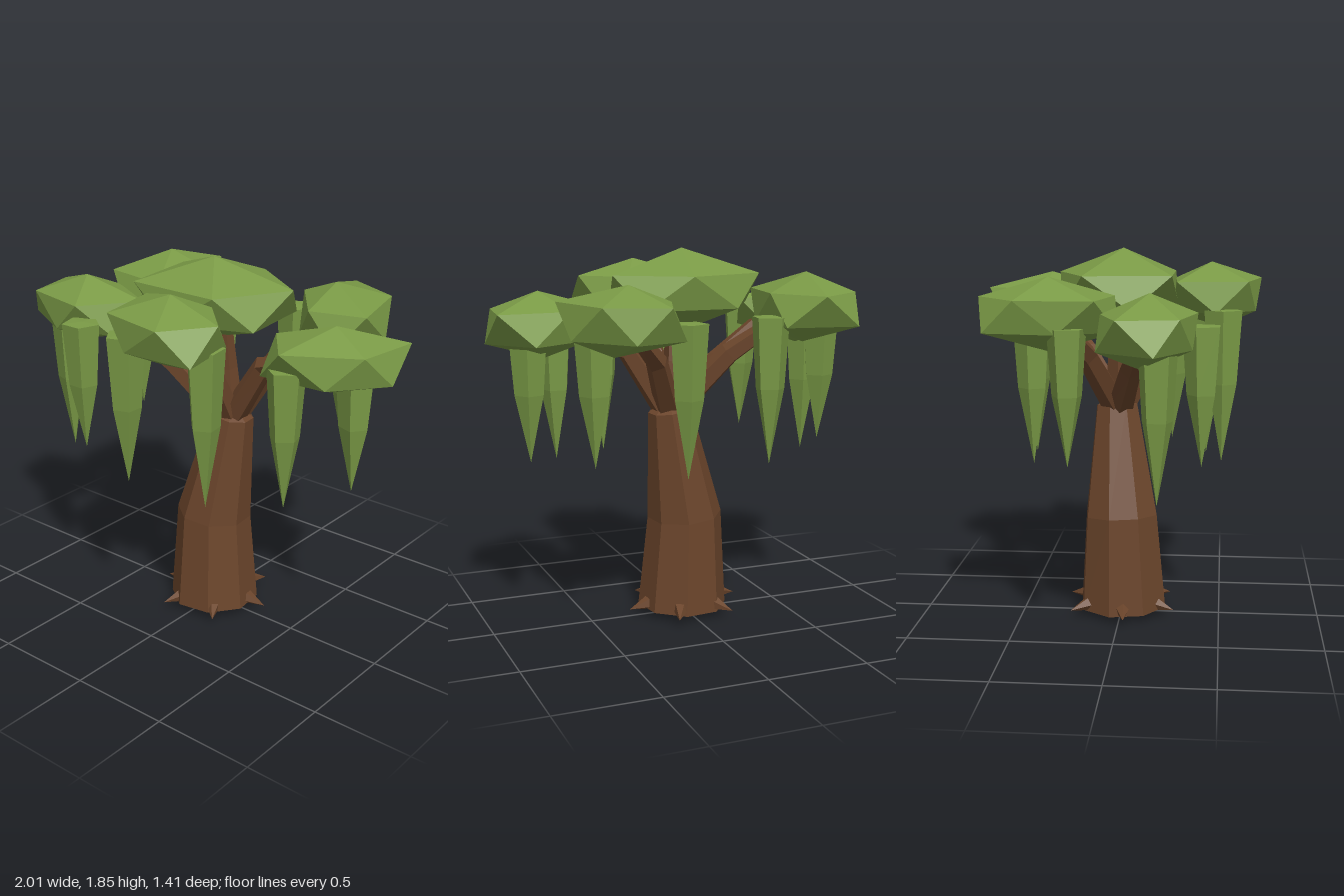
import * as THREE from 'three';
import { ConvexGeometry } from 'three/addons/geometries/ConvexGeometry.js';

const V = (x, y, z) => new THREE.Vector3(x, y, z);
const bark = new THREE.MeshStandardMaterial({ color: 0x6b452b, flatShading: true });
const leaf = new THREE.MeshStandardMaterial({ color: 0x7a9a46, flatShading: true });

// Faceted limb through sections [x, y, z, radius]; radius 0 makes a point or cap
function limb(sections, sides, phase = 0) {
  const centres = sections.map(([x, y, z]) => V(x, y, z));
  const last = centres.length - 1;
  const rings = sections.map(([, , , r], i) => {
    const dir = centres[Math.min(i + 1, last)].clone().sub(centres[Math.max(i - 1, 0)]).normalize();
    const q = new THREE.Quaternion().setFromUnitVectors(V(0, 1, 0), dir);
    return Array.from({ length: sides }, (_, k) => {
      const a = phase + (k / sides) * Math.PI * 2;
      return V(Math.cos(a) * r, 0, Math.sin(a) * r).applyQuaternion(q).add(centres[i]);
    });
  });
  const points = [];
  for (let i = 0; i < last; i++) {
    for (let k = 0; k < sides; k++) {
      const n = (k + 1) % sides;
      const [p, q] = [rings[i], rings[i + 1]];
      if (sections[i][3] > 0) points.push(p[k], q[k], p[n]);
      if (sections[i + 1][3] > 0) points.push(p[n], q[k], q[n]);
    }
  }
  const geometry = new THREE.BufferGeometry().setFromPoints(points);
  geometry.computeVertexNormals();
  return geometry;
}

// Flattened twelve-point clump: an upper ring and apex, mirrored through the centre
function clump(y, halfHeight, ringHeight, apex, ring) {
  const cx = ring.reduce((s, p) => s + p[0], 0) / ring.length;
  const cz = ring.reduce((s, p) => s + p[1], 0) / ring.length;
  const points = [];
  const addPair = (x, z, h) =>
    points.push(V(x, y + h, z), V(cx - (x - cx) * 0.97, y - h, cz - (z - cz) * 0.97));
  addPair(apex[0], apex[1], halfHeight);
  ring.forEach(([x, z]) => addPair(x, z, ringHeight));
  return new ConvexGeometry(points);
}

export function createModel() {
  const tree = new THREE.Group();
  tree.name = 'tree';
  const add = (name, geometry, material) => {
    const mesh = new THREE.Mesh(geometry, material);
    mesh.name = name;
    tree.add(mesh);
  };

  // Trunk leaning to one side, with a rough pointed underside
  add('trunk', limb([
    [0.01, 0, 0.01, 0], [0.01, 0.035, 0.01, 0.225], [0, 0.51, 0, 0.188],
    [0.09, 1.06, -0.03, 0.108], [0.095, 1.12, -0.03, 0],
  ], 8, 0.25), bark);

  // Small root spurs around the foot
  for (let i = 0; i < 6; i++) {
    const a = (i / 6) * Math.PI * 2 - 0.1;
    const at = (d, y, r) => [0.01 + Math.cos(a) * d, y, Math.sin(a) * d, r];
    add('root', limb([at(0.14, 0.075, 0), at(0.17, 0.07, 0.045), at(0.3, 0.045, 0)], 5), bark);
  }

  // Branches, each with one elbow, ending inside a leaf clump
  const branches = {
    centreBranch: [[0.06, 1.3, -0.02], [0.05, 1.62, 0]],
    rightBranch: [[-0.2, 1.28, 0.06], [-0.52, 1.5, 0.14]],
    leftBranch: [[0.3, 1.36, 0], [0.62, 1.47, 0.04]],
    frontBranch: [[0.1, 1.31, 0.14], [0.1, 1.58, 0.4]],
    backRightBranch: [[-0.18, 1.34, -0.15], [-0.46, 1.55, -0.27]],
    backLeftBranch: [[0.22, 1.32, -0.2], [0.42, 1.52, -0.37]],
  };
  for (const [name, [elbow, end]] of Object.entries(branches)) {
    add(name, limb([
      [0.085, 0.98, -0.03, 0], [0.085, 1.03, -0.02, 0.07], [...elbow, 0.055], [...end, 0.035], [...end, 0],
    ], 5, 0.6), bark);
  }

  // Leaf clumps
  add('centreClump', clump(1.65, 0.2, 0.08, [0.01, 0.01],
    [[0.07, -0.31], [0.4, -0.09], [0.2, 0.26], [-0.28, 0.26], [-0.33, -0.16]]), leaf);
  add('frontClump', clump(1.62, 0.16, 0.075, [0.11, 0.44],
    [[-0.18, 0.28], [0.2, 0.26], [0.4, 0.46], [0.24, 0.69], [-0.11, 0.62]]), leaf);
  add('leftClump', clump(1.5, 0.16, 0.075, [0.73, 0.04],
    [[0.98, -0.19], [0.94, 0.13], [0.62, 0.32], [0.43, 0.08], [0.63, -0.17]]), leaf);
  add('rightClump', clump(1.51, 0.17, 0.075, [-0.67, 0.18],
    [[-0.66, -0.04], [-0.35, 0.12], [-0.55, 0.39], [-0.9, 0.32], [-0.96, 0.05]]), leaf);
  add('backLeftClump', clump(1.55, 0.16, 0.08, [0.43, -0.4],
    [[0.34, -0.72], [0.62, -0.6], [0.72, -0.22], [0.45, -0.14], [0.23, -0.42]]), leaf);
  add('backRightClump', clump(1.57, 0.17, 0.075, [-0.52, -0.29],
    [[-0.46, -0.62], [-0.3, -0.35], [-0.36, 0], [-0.72, -0.06], [-0.72, -0.42]]), leaf);

  // Hanging foliage: [x, z, tip height, top height]
  [
    [-0.77, 0.22, 0.75, 1.48], [-0.65, -0.19, 0.89, 1.52], [-0.49, 0.41, 0.87, 1.52],
    [-0.28, -0.4, 0.83, 1.54], [-0.12, 0.5, 0.82, 1.56], [0.29, 0.42, 0.78, 1.56],
    [0.6, 0.23, 0.8, 1.48], [0.57, -0.32, 0.86, 1.52], [0.8, -0.03, 0.85, 1.48],
    [0.16, -0.45, 0.8, 1.53],
  ].forEach(([x, z, tip, top], i) => {
    const mid = tip + (top - tip) * 0.52;
    add('hangingFoliage', limb([
      [x, tip, z, 0], [x, mid, z, 0.072], [x, top, z, 0.095], [x, top + 0.005, z, 0],
    ], 5, i * 1.1), leaf);
  });

  return tree;
}
